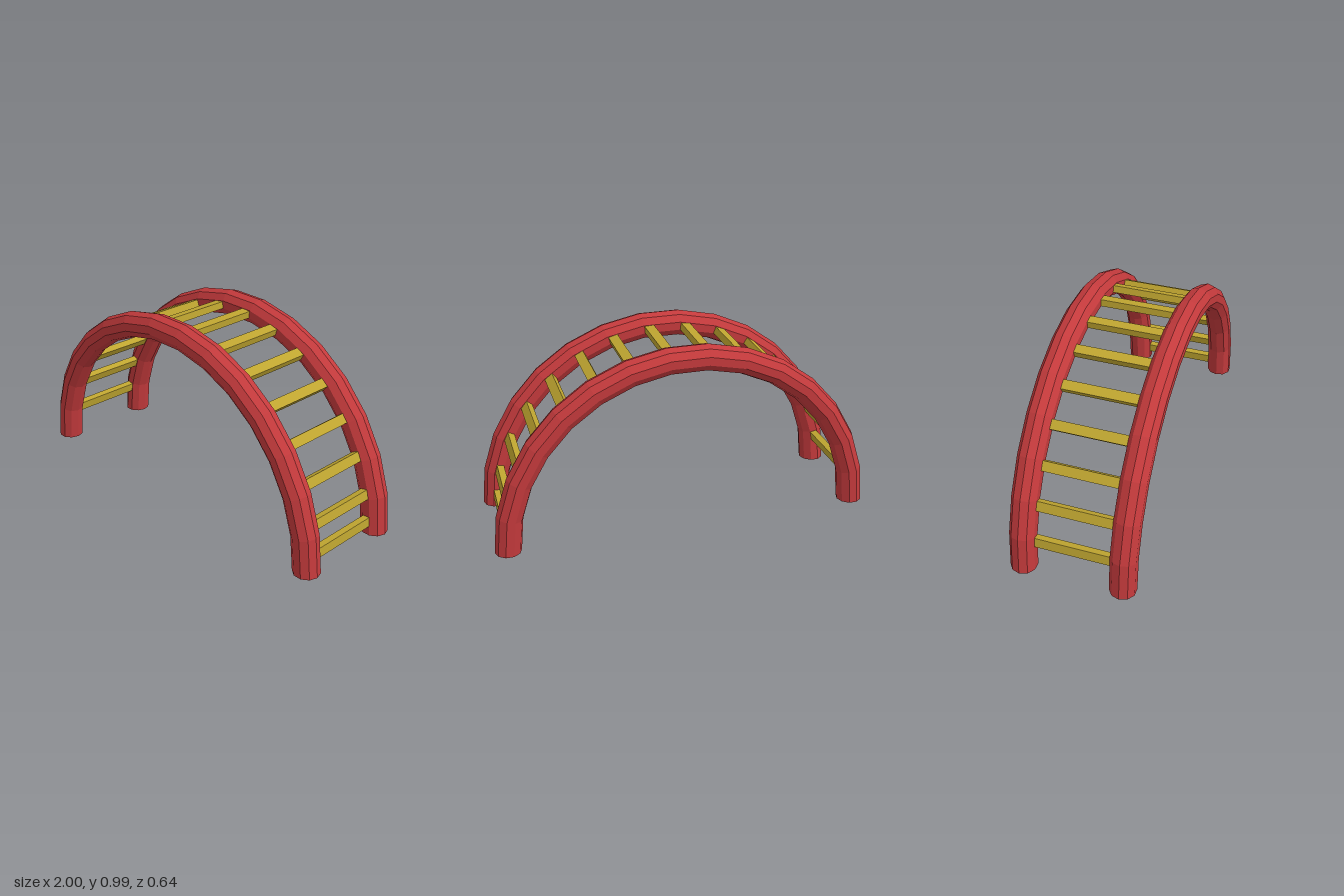
import * as THREE from 'three';

const ARCH_RADIUS = 0.932;
const TUBE_RADIUS = 0.068;
const RAIL_Z = 0.255;
const SIDES = 10;

export function createModel() {
  const red = new THREE.MeshStandardMaterial({ color: 0xc43a3c, flatShading: true });
  red.name = 'railRed';
  const yellow = new THREE.MeshStandardMaterial({ color: 0xbfa530, flatShading: true });
  yellow.name = 'rungYellow';

  const model = new THREE.Group();
  model.name = 'archClimber';

  const add = (parent, name, geometry, material) => {
    const mesh = new THREE.Mesh(geometry, material);
    mesh.name = name;
    parent.add(mesh);
    return mesh;
  };

  // Two half-ring rails, each closed by a flat cap under both feet
  const railGeometry = new THREE.TorusGeometry(ARCH_RADIUS, TUBE_RADIUS, SIDES, 15, Math.PI);
  for (const [name, z] of [['frontRail', RAIL_Z], ['backRail', -RAIL_Z]]) {
    const rail = new THREE.Group();
    rail.name = name;
    rail.position.z = z;
    add(rail, 'arch', railGeometry, red);
    for (const side of [1, -1]) {
      const start = side > 0 ? 0 : Math.PI;
      const cap = new THREE.CircleGeometry(TUBE_RADIUS, SIDES, start).rotateX(Math.PI / 2);
      add(rail, side > 0 ? 'leftFootCap' : 'rightFootCap', cap, red).position.x = side * ARCH_RADIUS;
    }
    model.add(rail);
  }

  // Rungs follow the arch: one low starter rung, then one every 12 degrees
  const angles = [4.6];
  for (let i = 0; i < 14; i++) angles.push(13.7 + i * 12);
  const rungGeometry = new THREE.BoxGeometry(0.037, 0.05, 2 * RAIL_Z - 0.08);
  angles.forEach((degrees, i) => {
    const a = THREE.MathUtils.degToRad(degrees);
    const rung = add(model, `rung${i + 1}`, rungGeometry, yellow);
    rung.position.set(Math.cos(a) * 0.93, Math.sin(a) * 0.93, 0);
    rung.rotation.z = a;
  });

  return model;
}
